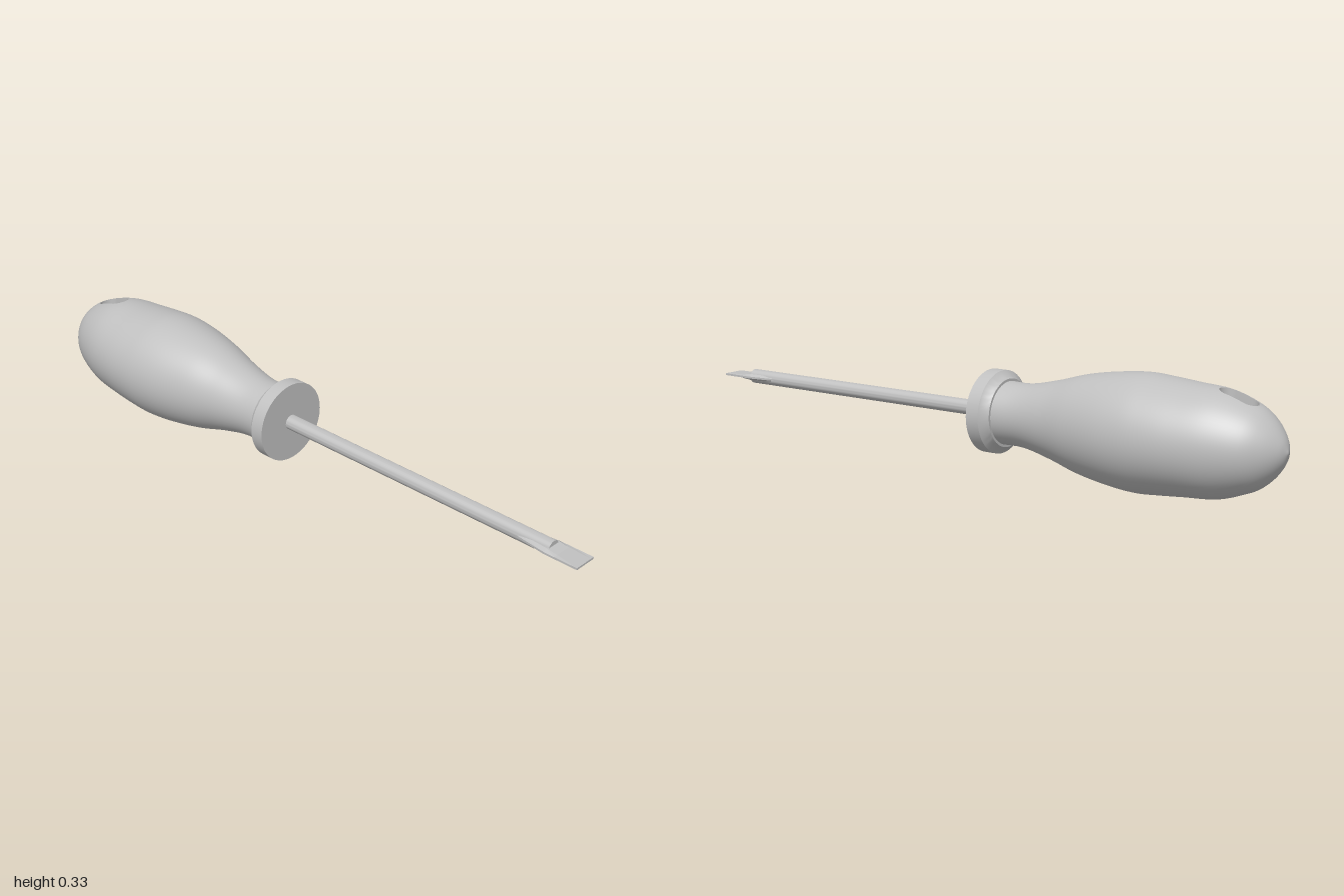
import * as THREE from 'three';
import { mergeVertices, toCreasedNormals } from 'three/addons/utils/BufferGeometryUtils.js';

const CY = 0.166; // height of the tool's axis
const steel = new THREE.MeshStandardMaterial({ color: 0xc0c0c0 });
steel.name = 'lightGrey';

// Handle profile: half width, half height, z
const profile = new THREE.CatmullRomCurve3([
  [0.093, 0.093, -0.1], [0.093, 0.093, -0.19], [0.111, 0.114, -0.29],
  [0.138, 0.142, -0.39], [0.162, 0.16, -0.5], [0.17, 0.166, -0.58],
  [0.17, 0.162, -0.64], [0.164, 0.155, -0.72], [0.146, 0.146, -0.82],
  [0.112, 0.114, -0.91], [0.077, 0.08, -0.955], [0.035, 0.037, -0.987], [0, 0, -1],
].map((p) => new THREE.Vector3(...p)));

// Curve parameter at a given z
function paramAt(z) {
  let lo = 0, hi = 1;
  for (let i = 0; i < 40; i++) {
    const mid = (lo + hi) / 2;
    if (profile.getPoint(mid).z > z) lo = mid; else hi = mid;
  }
  return lo;
}

// Point on the handle at angle a and curve parameter t
function onHandle([a, t]) {
  const p = profile.getPoint(t);
  return [p.x * Math.cos(a), CY + p.y * Math.sin(a), p.z];
}

function quad(out, a, b, c, d) {
  out.push(...a, ...b, ...c, ...a, ...c, ...d);
}

function fromTriangles(data) {
  const g = new THREE.BufferGeometry();
  g.setAttribute('position', new THREE.Float32BufferAttribute(data, 3));
  return g;
}

function smooth(data) {
  const g = mergeVertices(fromTriangles(data), 1e-5);
  g.computeVertexNormals();
  return g;
}

// Slot outline point in the direction (dx, dz) from the slot centre
const SLOT_Z = -0.855, SLOT_R = 0.03, SLOT_C = 0.025;
function slotPoint(dx, dz) {
  const len = Math.hypot(dx, dz);
  dx /= len; dz /= len;
  let s = SLOT_R / Math.max(Math.abs(dx), 1e-9);
  if (Math.abs(dz) * s > SLOT_C) {
    const b = SLOT_C * Math.abs(dz);
    s = b + Math.sqrt(b * b - SLOT_C ** 2 + SLOT_R ** 2);
  }
  return [dx * s, SLOT_Z + dz * s];
}

function handleGeometries() {
  const N = 72, M = 80, top = N / 4, half = 6;
  const j0 = Math.floor(paramAt(-0.76) * M), j1 = Math.ceil(paramAt(-0.94) * M);
  const at = (i, j) => [(i / N) * Math.PI * 2, j / M];
  const skin = [];

  // Lofted skin, left open around the slot above and below
  for (let j = 0; j < M; j++) {
    for (let i = 0; i < N; i++) {
      const k = i % (N / 2);
      if (j >= j0 && j < j1 && k >= top - half && k < top + half) continue;
      quad(skin, ...[at(i, j), at(i, j + 1), at(i + 1, j + 1), at(i + 1, j)].map(onHandle));
    }
  }

  // Outline of the opening, and the slot edge it closes in on
  const outer = [];
  for (let i = top - half; i < top + half; i++) outer.push(at(i, j0));
  for (let j = j0; j < j1; j++) outer.push(at(top + half, j));
  for (let i = top + half; i > top - half; i--) outer.push(at(i, j1));
  for (let j = j1; j > j0; j--) outer.push(at(top - half, j));
  const inner = outer.map((p) => {
    const q = onHandle(p);
    const [x, z] = slotPoint(q[0], q[2] - SLOT_Z);
    const t = paramAt(z);
    return [Math.acos(x / profile.getPoint(t).x), t];
  });

  const mirror = ([x, y, z]) => [x, 2 * CY - y, z];
  const ringPoint = (k, f) => onHandle(outer[k].map((v, c) => v + (inner[k][c] - v) * f));
  const tunnel = [], steps = 5;
  for (let k = 0; k < outer.length; k++) {
    const n = (k + 1) % outer.length;
    for (let s = 0; s < steps; s++) {
      const q = [ringPoint(k, s / steps), ringPoint(k, (s + 1) / steps),
        ringPoint(n, (s + 1) / steps), ringPoint(n, s / steps)];
      quad(skin, ...q);
      quad(skin, ...q.map(mirror).reverse());
    }
    const a = onHandle(inner[k]), b = onHandle(inner[n]);
    quad(tunnel, a, mirror(a), mirror(b), b);
  }
  return [smooth(skin), smooth(tunnel)];
}

// Turned part along z from [radius, z] points
function turned(points, segments) {
  const g = new THREE.LatheGeometry(points.map((p) => new THREE.Vector2(...p)), segments);
  g.rotateX(Math.PI / 2).translate(0, CY, 0);
  return toCreasedNormals(g, 0.5);
}

// Flat blade: hexagon sections of [z, half width, flat half width, half thickness, edge half thickness]
function bladeGeometry() {
  const sections = [
    [0.78, 0.02, 0.014, 0.009, 0.003], [0.895, 0.036, 0.025, 0.01, 0.003],
    [0.93, 0.036, 0.025, 0.005, 0.003], [1, 0.036, 0.025, 0.003, 0.003],
  ].map(([z, w, f, t, e]) =>
    [[w, -e], [w, e], [f, t], [-f, t], [-w, e], [-w, -e], [-f, -t], [f, -t]]
      .map(([x, y]) => [x, CY + y, z]));
  const data = [];
  for (let s = 0; s < sections.length - 1; s++) {
    const a = sections[s], b = sections[s + 1];
    for (let i = 0; i < 8; i++) {
      const n = (i + 1) % 8;
      quad(data, a[i], a[n], b[n], b[i]);
    }
  }
  const tip = sections[sections.length - 1];
  for (let i = 1; i < 7; i++) data.push(...tip[0], ...tip[i], ...tip[i + 1]);
  const g = fromTriangles(data);
  g.computeVertexNormals();
  return g;
}

export function createModel() {
  const group = new THREE.Group();
  group.name = 'screwdriver';
  const add = (name, geometry) => {
    const mesh = new THREE.Mesh(geometry, steel);
    mesh.name = name;
    group.add(mesh);
  };

  const [skin, tunnel] = handleGeometries();
  add('handle', skin);
  add('hangingSlot', tunnel);
  add('collar', turned([[0, -0.12], [0.1, -0.12], [0.104, -0.112], [0.122, -0.097], [0.122, -0.055], [0, -0.055]], 64));
  add('shaft', turned([[0.0225, -0.06], [0.0225, 0.9], [0, 0.9]], 32));
  add('blade', bladeGeometry());
  return group;
}
